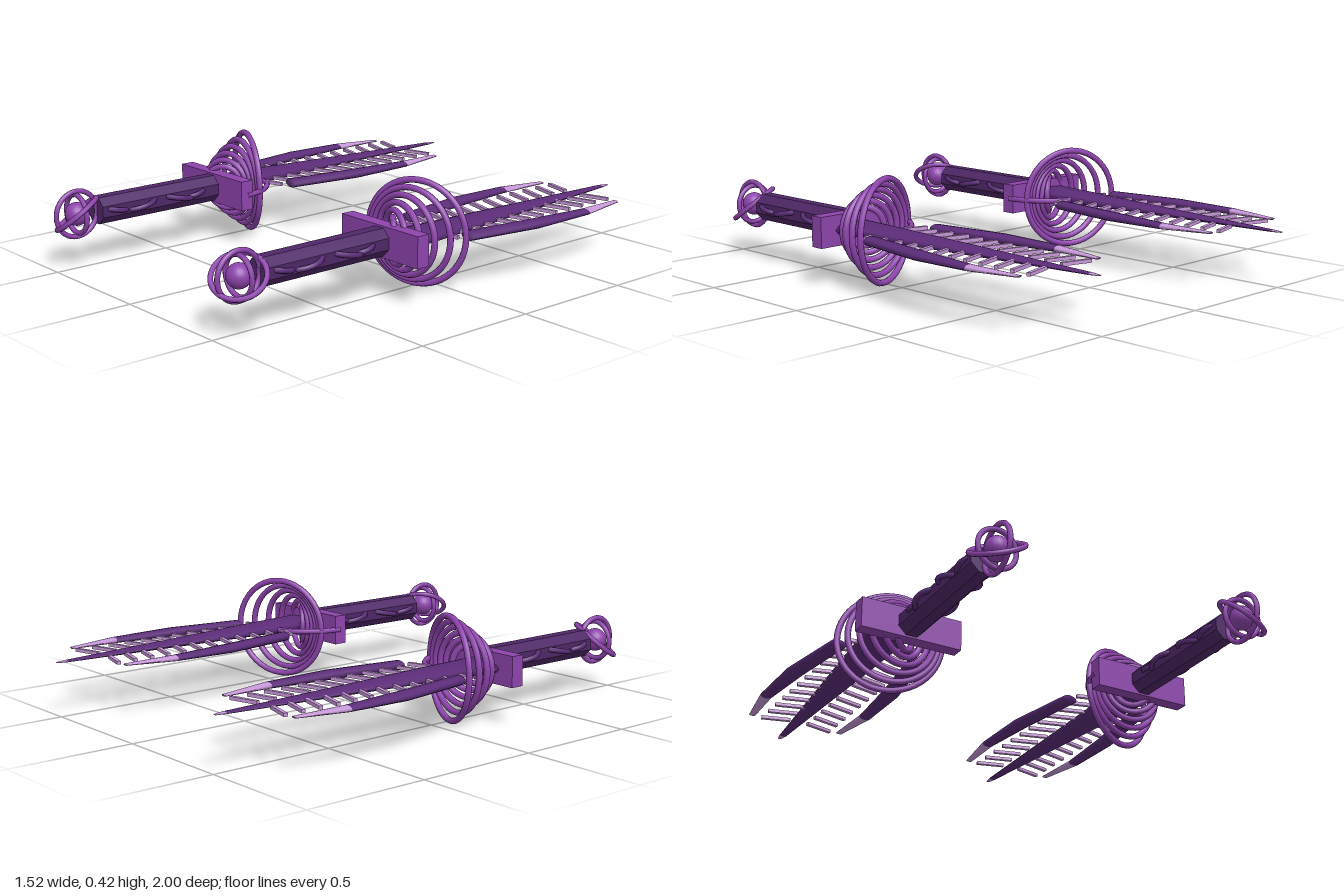
import * as THREE from 'three';

const mat = (name, color) => {
  const m = new THREE.MeshStandardMaterial({ color });
  m.name = name;
  return m;
};

// Lens-shaped blade lofted along z; each section is [z, x1, x2, half thickness]
function loft(sections, side) {
  const n = 12, pos = [], idx = [];
  for (const [z, a, b, t] of sections) {
    const cx = side * (a + b) / 2, w = Math.abs(b - a) / 2;
    for (let i = 0; i < n; i++) {
      const q = (i / n) * Math.PI * 2;
      pos.push(cx + w * Math.cos(q), t * Math.sin(q), z);
    }
  }
  const last = (sections.length - 1) * n;
  for (let k = 0; k < last; k += n) {
    for (let i = 0; i < n; i++) {
      const j = (i + 1) % n;
      idx.push(k + i, k + j, k + n + i, k + j, k + n + j, k + n + i);
    }
  }
  // end caps, facing -z and +z
  for (let i = 1; i < n - 1; i++) {
    idx.push(0, i + 1, i, last, last + i, last + i + 1);
  }
  const g = new THREE.BufferGeometry();
  g.setAttribute('position', new THREE.Float32BufferAttribute(pos, 3));
  g.setIndex(idx);
  g.computeVertexNormals();
  return g;
}

export function createModel() {
  const dark = mat('dark violet blade', 0x5b2c78);
  const grip = mat('deep violet grip', 0x4f2768);
  const bright = mat('bright purple', 0x8e44ad);
  const pale = mat('pale lilac', 0xc797d8);

  const model = new THREE.Group();

  function sword(side) {
    const g = new THREE.Group();
    g.name = side > 0 ? 'leftSword' : 'rightSword';
    g.position.set(side * 0.515, 0.214, 0);
    const add = (name, geo, m, x = 0, y = 0, z = 0) => {
      const mesh = new THREE.Mesh(geo, m);
      mesh.name = name;
      mesh.position.set(x, y, z);
      g.add(mesh);
      return mesh;
    };

    // Main blade, wider on the outer side
    add('mainBlade', loft([[-0.96, -0.015, 0.016, 0.004], [0, -0.05, 0.112, 0.024],
      [0.21, -0.058, 0.134, 0.027]], side), dark);
    add('mainBladeTip', loft([[-1, -0.007, 0.008, 0.002], [-0.96, -0.015, 0.016, 0.004]], side), pale);

    for (const s of [-1, 1]) {
      // Side blades with pale tips
      add('sideBlade', loft([[-0.61, 0.195, 0.246, 0.012], [-0.34, 0.172, 0.246, 0.018],
        [-0.03, 0.13, 0.196, 0.018]], s), dark);
      add('sideBladeTip', loft([[-0.82, 0.184, 0.211, 0.004], [-0.61, 0.195, 0.246, 0.012]], s), pale);
      // Slanted rungs between the blades
      for (let i = 0; i < 12; i++) {
        const r = add('rung', new THREE.BoxGeometry(0.12, 0.013, 0.015), pale,
          s * 0.097, 0, -0.807 + i * 0.0757);
        r.rotation.y = s * 0.26;
      }
    }

    // Cross guard
    add('guard', new THREE.BoxGeometry(0.41, 0.12, 0.055), bright, -side * 0.003, 0, 0.232);

    // Fan of hand rings: [radius, z at the outer end]
    const inner = 0.148;
    for (const [R, outer] of [[0.198, 0], [0.174, 0.065], [0.15, 0.125], [0.125, 0.175],
      [0.1, 0.215], [0.075, 0.24]]) {
      const ring = add('guardRing', new THREE.TorusGeometry(R, 0.0123, 8, 48), bright,
        0, 0, (inner + outer) / 2);
      ring.rotation.y = side * Math.asin((inner - outer) / (2 * R));
    }

    // Curved strand from the guard to the blade
    const strand = new THREE.CatmullRomCurve3([[-0.205, 0.23], [-0.188, 0.155], [-0.165, 0.112],
      [-0.105, 0.05], [-0.045, 0.03]].map(([x, z]) => new THREE.Vector3(side * x, 0, z)));
    add('guardStrand', new THREE.TubeGeometry(strand, 20, 0.011, 8), bright);

    // Grip
    const handle = new THREE.CylinderGeometry(0.057, 0.057, 0.56, 8);
    handle.rotateY(Math.PI / 8);
    handle.rotateX(Math.PI / 2);
    const gripMesh = add('grip', handle.toNonIndexed(), grip, 0, 0, 0.53);
    gripMesh.geometry.computeVertexNormals();

    // Flat rings threaded through the grip
    [[0.37, 0.06], [0.45, 0.076], [0.625, 0.075], [0.74, 0.061]].forEach(([z, R], i) => {
      const ring = add('gripRing', new THREE.TorusGeometry(R, 0.0105, 8, 32), dark, 0, 0, z);
      ring.rotation.x = Math.PI / 2 + (i % 2 ? -0.2 : 0.2);
    });

    // Pommel ball inside crossed rings, each ring given by its radius and facing
    add('pommelBall', new THREE.SphereGeometry(0.046, 20, 14), bright, 0, 0, 0.895);
    const zAxis = new THREE.Vector3(0, 0, 1);
    for (const [R, x, y, z] of [[0.09, 1, 0, 0], [0.097, side * 0.4, 0.78, 0.47], [0.075, 0, 0, 1]]) {
      const ring = add('pommelRing', new THREE.TorusGeometry(R, 0.01, 8, 40), bright, 0, 0, 0.895);
      ring.quaternion.setFromUnitVectors(zAxis, new THREE.Vector3(x, y, z).normalize());
    }

    model.add(g);
  }

  sword(1);
  sword(-1);
  return model;
}
